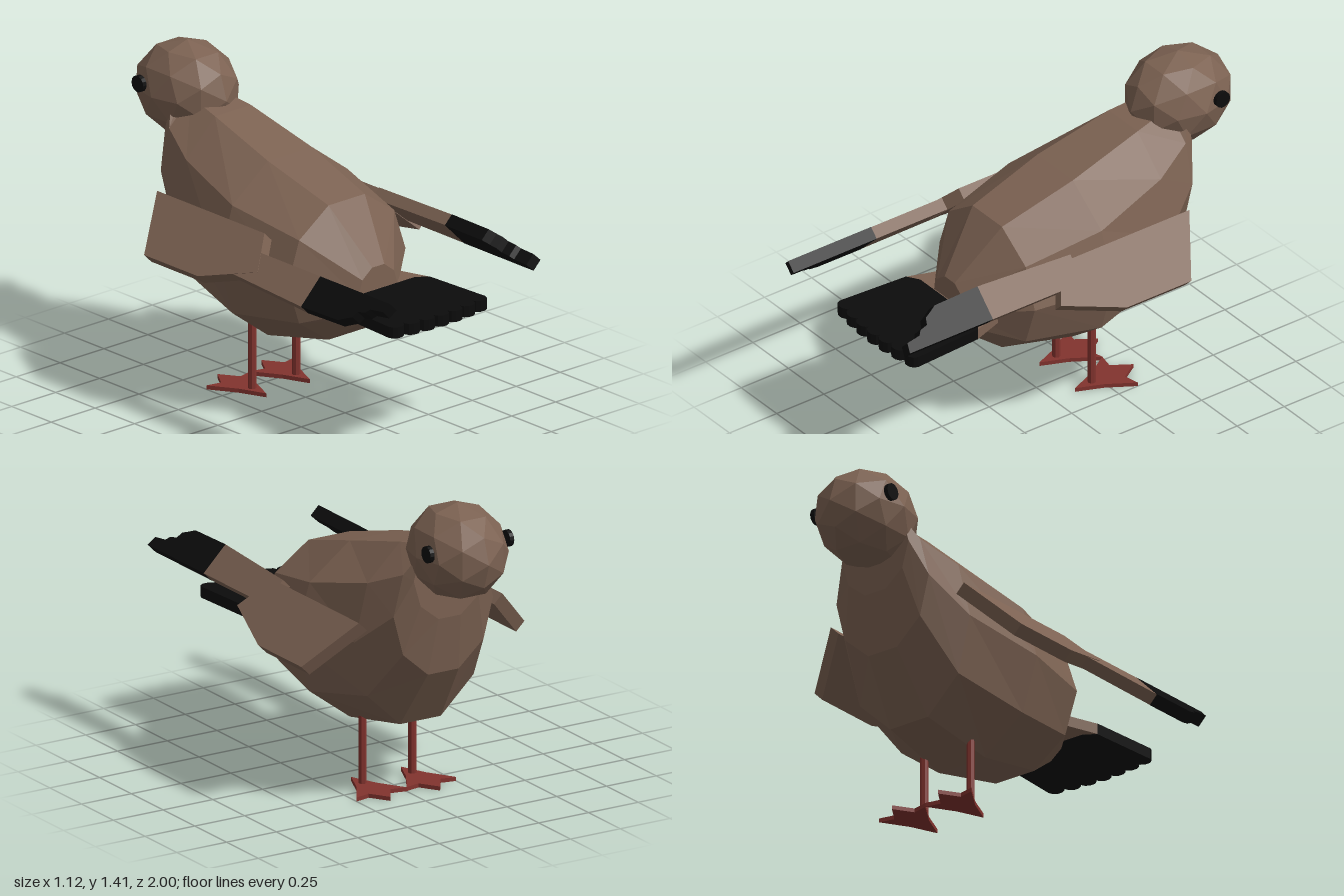
import * as THREE from 'three';

export function createModel() {
  const model = new THREE.Group();
  const material = (name, color, extra = {}) => {
    const m = new THREE.MeshStandardMaterial({ color, flatShading: true, ...extra });
    m.name = name;
    return m;
  };
  const brown = material('brown plumage', 0x7c6252);
  const black = material('black tips and eyes', 0x0c0c0c);
  const red = material('red legs', 0x82332e);

  const add = (parent, name, geometry, mat) => {
    const mesh = new THREE.Mesh(geometry, mat);
    mesh.name = name;
    parent.add(mesh);
    return mesh;
  };
  const group = (name) => {
    const g = new THREE.Group();
    g.name = name;
    model.add(g);
    return g;
  };

  // Flat plate: outline points are [sideways, z]; tilt drops the sideways axis
  const plate = (points, thickness, origin, side = 1, tilt = 0) => {
    const shape = new THREE.Shape(points.map(([u, z]) => new THREE.Vector2(u, z)));
    const geo = new THREE.ExtrudeGeometry(shape, { depth: thickness, bevelEnabled: false });
    geo.translate(0, 0, -thickness / 2);
    const x = new THREE.Vector3(side * Math.cos(tilt), -Math.sin(tilt), 0);
    const y = new THREE.Vector3(0, 0, 1);
    const z = new THREE.Vector3().crossVectors(x, y);
    return geo.applyMatrix4(new THREE.Matrix4().makeBasis(x, y, z).setPosition(...origin));
  };

  // Body: ten-sided rings from rump to throat: z, centre y, x radius, y radius
  const rings = [
    [0.46, 0.612, 0.112, 0.12],
    [0.26, 0.665, 0.335, 0.32],
    [-0.1, 0.68, 0.405, 0.415],
    [-0.46, 0.76, 0.33, 0.43],
    [-0.64, 0.91, 0.25, 0.305],
    [-0.69, 1.07, 0.18, 0.2],
  ];
  const sides = 10;
  const positions = [];
  const index = [];
  rings.forEach(([z, cy, rx, ry], i) => {
    for (let j = 0; j < sides; j++) {
      const a = (j / sides) * Math.PI * 2;
      positions.push(Math.cos(a) * rx, cy + Math.sin(a) * ry, z);
      if (i === 0) continue;
      const k = (j + 1) % sides;
      const p = (i - 1) * sides, q = i * sides;
      index.push(p + j, q + j, p + k, p + k, q + j, q + k);
    }
  });
  const last = (rings.length - 1) * sides;
  for (let j = 1; j < sides - 1; j++) {
    index.push(0, j, j + 1);
    index.push(last, last + j + 1, last + j);
  }
  const bodyGeo = new THREE.BufferGeometry();
  bodyGeo.setAttribute('position', new THREE.Float32BufferAttribute(positions, 3));
  bodyGeo.setIndex(index);
  bodyGeo.computeVertexNormals();
  add(model, 'body', bodyGeo, brown);

  // Head
  const head = add(model, 'head', new THREE.IcosahedronGeometry(1, 1), brown);
  head.scale.set(0.206, 0.213, 0.25);
  head.position.set(0, 1.198, -0.75);

  // Tail: brown root and a black fan with a scalloped end
  const tailOrigin = [0, 0.6, 0];
  const root = [[-0.2, 0.34], [-0.255, 0.5], [-0.2, 0.465], [0.2, 0.465], [0.255, 0.5], [0.2, 0.34]];
  const fan = [[0.2, 0.465], [-0.2, 0.465], [-0.255, 0.5]];
  const feathers = 7;
  const width = 0.55 / feathers;
  for (let i = 0; i < feathers; i++) {
    const cx = (i - (feathers - 1) / 2) * width;
    const end = 0.865 - 0.2 * cx * cx * 2;
    for (let k = 0; k <= 5; k++) {
      const a = (k / 5) * Math.PI;
      fan.push([cx - (Math.cos(a) * width) / 2, end - 0.01 + Math.sin(a) * 0.032]);
    }
  }
  fan.push([0.255, 0.5]);
  const tail = group('tail');
  add(tail, 'tailRoot', plate(root, 0.048, tailOrigin), brown);
  add(tail, 'tailFan', plate(fan, 0.05, tailOrigin), black);

  // Outlines shared by both sides
  const wingOutline = [[0, -0.54], [0.283, -0.4], [0.283, -0.06], [0.17, 0.23], [0, 0.14]];
  const primaryRoot = [[0, 0.08], [0, 0.56], [0.155, 0.56], [0.13, 0.08]];
  const primaryTip = [
    [0, 0.56], [0, 1], [0.045, 0.99], [0.055, 0.92], [0.075, 0.905], [0.085, 0.865],
    [0.115, 0.855], [0.13, 0.825], [0.15, 0.79], [0.155, 0.56],
  ];
  const footOutline = [
    [0, 0.09], [0.05, -0.03], [0.125, -0.15], [0.055, -0.135], [0, -0.22],
    [-0.055, -0.135], [-0.125, -0.15], [-0.05, -0.03],
  ];

  for (const side of [1, -1]) {
    const label = side > 0 ? 'left' : 'right';

    // Eye
    const eye = add(model, label + 'Eye', new THREE.CylinderGeometry(0.037, 0.037, 0.02, 14), black);
    eye.rotation.z = Math.PI / 2;
    eye.position.set(side * 0.2, 1.237, -0.833);

    // Wing: sloping slab with long flight feathers, which fan up on one side, down on the other
    const wing = group(label + 'Wing');
    const origin = [side * 0.34, 0.854, 0];
    const flight = (pts) => pts.map(([v, z]) => [0.1 - side * (v + 0.0) + (side > 0 ? 0.012 : -0.015), z]);
    const slope = Math.PI / 4;
    add(wing, 'wingSlab', plate(wingOutline, 0.058, origin, side, slope), brown);
    add(wing, 'flightFeathers', plate(flight(primaryRoot), 0.054, origin, side, slope), brown);
    add(wing, 'flightFeatherTips', plate(flight(primaryTip), 0.056, origin, side, slope), black);

    // Leg and three-toed foot
    const leg = group(label + 'Leg');
    const shank = add(leg, 'shank', new THREE.CylinderGeometry(0.018, 0.018, 0.34, 8), red);
    shank.position.set(side * 0.125, 0.18, -0.2);
    add(leg, 'foot', plate(footOutline, 0.018, [side * 0.125, 0.009, -0.2]), red);
  }

  return model;
}
